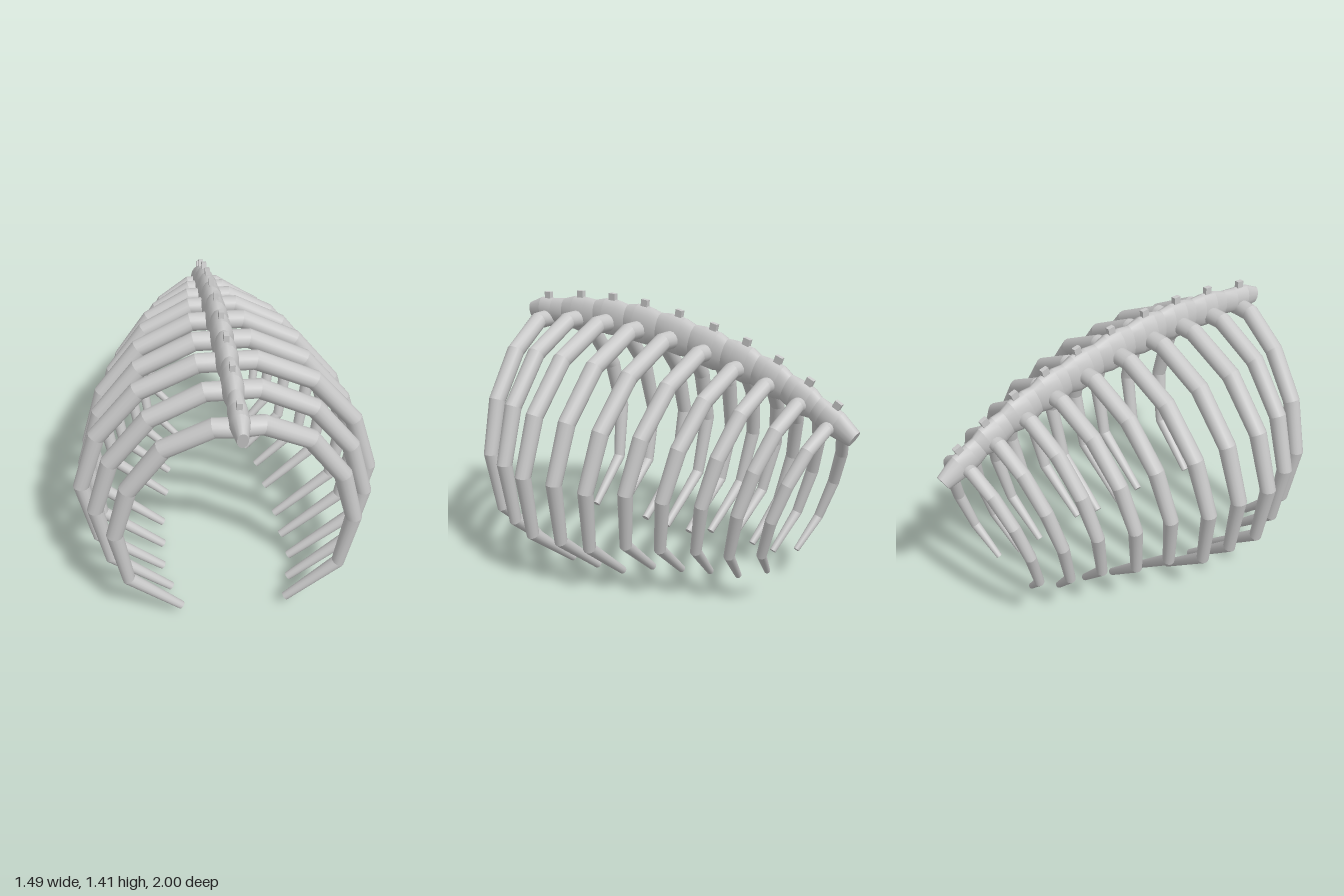
import * as THREE from 'three';
import { mergeGeometries } from 'three/addons/utils/BufferGeometryUtils.js';

const SIDES = 14;

// A strip of triangles with its own normals, so its borders stay sharp
function patch(vertices, index) {
  const g = new THREE.BufferGeometry().setFromPoints(vertices);
  g.setIndex(index);
  g.computeVertexNormals();
  return g;
}

// Lofts a closed tube through points with elliptical sections: round around,
// creased at each section. radii[i] = [half-size along ref, half-size across it].
function loft(points, radii, ref) {
  const n = points.length;
  const rings = points.map((p, i) => {
    const dirIn = i > 0 ? p.clone().sub(points[i - 1]).normalize() : new THREE.Vector3();
    const dirOut = i < n - 1 ? points[i + 1].clone().sub(p).normalize() : new THREE.Vector3();
    const t = dirIn.add(dirOut).normalize();
    const a = ref.clone().addScaledVector(t, -ref.dot(t)).normalize();
    const b = t.clone().cross(a);
    return Array.from({ length: SIDES }, (_, j) => {
      const th = ((j + 0.5) / SIDES) * Math.PI * 2;
      return p.clone()
        .addScaledVector(a, radii[i][0] * Math.cos(th))
        .addScaledVector(b, radii[i][1] * Math.sin(th));
    });
  });
  const wall = [], startCap = [], endCap = [];
  for (let j = 0; j < SIDES; j++) {
    const k = (j + 1) % SIDES;
    wall.push(j, k, SIDES + k, j, SIDES + k, SIDES + j);
  }
  for (let j = 1; j < SIDES - 1; j++) {
    startCap.push(0, j + 1, j);
    endCap.push(0, j, j + 1);
  }
  const parts = [patch(rings[0], startCap), patch(rings[n - 1], endCap)];
  for (let i = 0; i < n - 1; i++) parts.push(patch([...rings[i], ...rings[i + 1]], wall));
  return mergeGeometries(parts);
}

// One entry per vertebra: z, spine height, half-width, half-height
const VERTEBRAE = [
  [0.87, 1.275, 0.045, 0.066], [0.64, 1.28, 0.05, 0.089],
  [0.43, 1.28, 0.054, 0.096], [0.23, 1.265, 0.056, 0.101],
  [0.025, 1.236, 0.056, 0.101], [-0.175, 1.193, 0.056, 0.101],
  [-0.36, 1.148, 0.054, 0.096], [-0.53, 1.093, 0.052, 0.089],
  [-0.695, 1.023, 0.049, 0.079], [-0.845, 0.944, 0.044, 0.068],
];

// One entry per rib pair: top z, top y, tip z, tip y, centreline half-width, radius
const RIBS = [
  [0.87, 1.23, 0.79, 0.062, 0.556, 0.046], [0.64, 1.255, 0.64, 0.04, 0.641, 0.046],
  [0.43, 1.26, 0.475, 0.02, 0.706, 0.047], [0.232, 1.245, 0.315, 0.016, 0.681, 0.047],
  [0.025, 1.22, 0.155, 0.02, 0.661, 0.046], [-0.178, 1.18, -0.015, 0.075, 0.591, 0.044],
  [-0.365, 1.125, -0.18, 0.095, 0.536, 0.042], [-0.535, 1.07, -0.325, 0.105, 0.442, 0.04],
  [-0.705, 1.0, -0.47, 0.11, 0.375, 0.038], [-0.855, 0.908, -0.62, 0.165, 0.322, 0.034],
];

// Shared rib outline: width fraction, height fraction, thickness fraction
const OUTLINE = [
  [0, 1, 1], [0.19, 1, 1], [0.58, 0.895, 0.98], [0.87, 0.7, 0.94],
  [1, 0.465, 0.86], [0.91, 0.2, 0.71], [0.465, 0, 0.45],
];
// The foremost pair bends back near the spine, then drops almost straight
const FRONT_BEND = [0, 0.12, 0.5, 0.6, 0.68, 0.85, 1];

export function createModel() {
  const model = new THREE.Group();
  const bone = new THREE.MeshStandardMaterial({ color: 0xc8c8c8 });
  bone.name = 'bone grey';
  const add = (name, geometry) => {
    const mesh = new THREE.Mesh(geometry, bone);
    mesh.name = name;
    model.add(mesh);
    return mesh;
  };

  // Spine: swollen at each vertebra, narrowed between them
  const pts = [new THREE.Vector3(0, 1.26, 0.996)], radii = [[0.025, 0.043]];
  const tangents = VERTEBRAE.map((v, i) => {
    const p = VERTEBRAE[Math.max(i - 1, 0)], q = VERTEBRAE[Math.min(i + 1, 9)];
    return new THREE.Vector3(0, q[1] - p[1], q[0] - p[0]).normalize();
  });
  VERTEBRAE.forEach(([z, y, w, h], i) => {
    const c = new THREE.Vector3(0, y, z);
    for (const s of [-0.04, 0.04]) {
      pts.push(c.clone().addScaledVector(tangents[i], s));
      radii.push([w, h]);
    }
    const next = VERTEBRAE[i + 1];
    if (next) {
      pts.push(new THREE.Vector3(0, (y + next[1]) / 2 + 0.003, (z + next[0]) / 2));
      radii.push([(w + next[2]) * 0.4, (h + next[3]) * 0.43]);
    }
  });
  pts.push(new THREE.Vector3(0, 0.868, -0.975));
  radii.push([0.037, 0.043]);
  add('spine', loft(pts, radii, new THREE.Vector3(1, 0, 0)));

  // Small knob standing on each vertebra
  VERTEBRAE.forEach(([z, y, , h], i) => {
    const t = tangents[i];
    const normal = new THREE.Vector3(0, -t.z, t.y);
    const knob = add('spineKnob' + (i + 1), new THREE.BoxGeometry(0.024, 0.07, 0.038));
    knob.position.set(0, y, z).addScaledVector(normal, h - 0.004);
    knob.rotation.x = Math.atan2(normal.z, normal.y);
  });

  // Rib pairs
  RIBS.forEach(([z0, y0, z1, y1, w, r], i) => {
    for (const side of [1, -1]) {
      const path = OUTLINE.map(([fx, fy], k) => {
        const f = i === 0 ? FRONT_BEND[k] : 1 - fy;
        return new THREE.Vector3(side * fx * w, y1 + (y0 - y1) * fy, z0 + (z1 - z0) * f);
      });
      const sizes = OUTLINE.map(([, , k]) => [r * k, r * k]);
      add((side > 0 ? 'leftRib' : 'rightRib') + (i + 1),
        loft(path, sizes, new THREE.Vector3(0, 0, 1)));
    }
  });
  return model;
}
